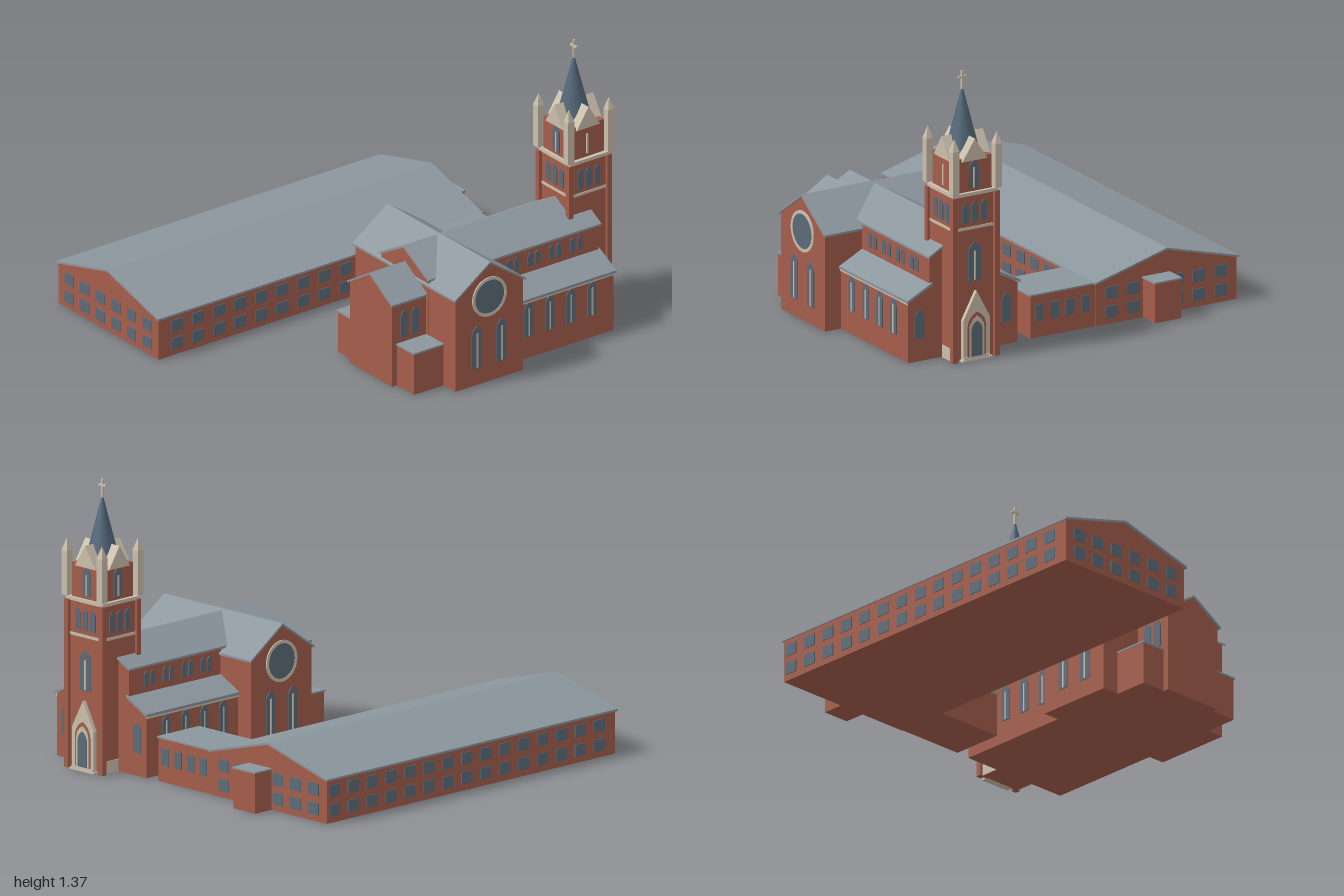
import * as THREE from 'three';

const mat = (name, color) => Object.assign(new THREE.MeshStandardMaterial({ color }), { name });

export function createModel() {
  const brick = mat('brick', 0xa45d4b);
  const slate = mat('slate', 0x8b969d);
  const glass = mat('glass', 0x5b6b79);
  const stone = mat('stone', 0xcbbfac);
  const spireBlue = mat('spire blue', 0x53687a);

  const model = new THREE.Group();
  const hall = new THREE.Group();
  const church = new THREE.Group();
  const tower = new THREE.Group();
  hall.name = 'hall';
  church.name = 'church';
  tower.name = 'tower';
  hall.position.set(-0.56, 0, 0.06);
  church.position.x = 0.54;
  tower.position.z = -0.865;
  church.add(tower);
  model.add(hall, church);

  const add = (parent, name, geo, material, x = 0, y = 0, z = 0, ry = 0) => {
    const m = new THREE.Mesh(geo, material);
    m.name = name;
    m.position.set(x, y, z);
    m.rotation.y = ry;
    parent.add(m);
    return m;
  };
  // box given by its x, y and z ranges
  const box = (parent, name, material, x0, x1, y0, y1, z0, z1) =>
    add(parent, name, new THREE.BoxGeometry(x1 - x0, y1 - y0, z1 - z0), material,
      (x0 + x1) / 2, (y0 + y1) / 2, (z0 + z1) / 2);
  const poly = (pts) => new THREE.Shape(pts.map(([x, y]) => new THREE.Vector2(x, y)));
  const extrude = (shape, depth, curveSegments = 8) =>
    new THREE.ExtrudeGeometry(shape, { depth, bevelEnabled: false, curveSegments });
  // profile in x and y, swept from z0 to z1
  const prism = (parent, name, material, pts, z0, z1) =>
    add(parent, name, extrude(poly(pts), z1 - z0), material, 0, 0, z0);

  // gabled block: walls plus an overhanging roof slab
  const gabled = (parent, name, half, eave, ridge, z0, z1, over = 0.01) => {
    const g = new THREE.Group(), t = 0.01, w = half - over;
    g.name = name;
    const top = ridge - (ridge - eave) * w / half - t;
    prism(g, name + ' walls', brick, [[-w, 0], [w, 0], [w, top], [0, ridge - t], [-w, top]], z0 + over, z1 - over);
    prism(g, name + ' roof', slate,
      [[-half, eave - t], [0, ridge - t], [half, eave - t], [half, eave], [0, ridge], [-half, eave]], z0, z1);
    parent.add(g);
    return g;
  };

  const rect = (w, h) => poly([[-w / 2, 0], [w / 2, 0], [w / 2, h], [-w / 2, h]]);
  const lancet = (w, h) => {
    const s = new THREE.Shape(), r = w / 2, k = h - w * 0.8;
    s.moveTo(-r, 0).lineTo(r, 0).lineTo(r, k);
    s.quadraticCurveTo(r, h - w * 0.25, 0, h).quadraticCurveTo(-r, h - w * 0.25, -r, k);
    return s;
  };
  // thin plate on a wall; ry is the direction the wall faces
  const plate = (parent, name, material, shape, x, y, z, ry, out = 0.004) => {
    const m = add(parent, name, extrude(shape, 0.006, 16), material, x, y, z, ry);
    m.translateZ(out - 0.006);
  };
  const BACK = Math.PI, SIDE = Math.PI / 2;

  // long hall with two rows of windows
  gabled(hall, 'hall', 0.39, 0.213, 0.318, -0.94, 0.94);
  for (const y of [0.03, 0.122]) {
    for (let i = 0; i < 6; i++) {
      const x = -0.295 + i * 0.118;
      plate(hall, 'front window', glass, rect(0.066, 0.058), x, y, 0.93, 0);
      if (i !== 3) plate(hall, 'back window', glass, rect(0.066, 0.058), x, y, -0.93, BACK);
    }
    for (let i = 0; i < 15; i++) {
      const z = 0.825 - i * 0.122;
      plate(hall, 'side window', glass, rect(0.068, 0.058), -0.38, y, z, -SIDE);
      if (z > -0.63) plate(hall, 'side window', glass, rect(0.068, 0.058), 0.38, y, z, SIDE);
    }
  }
  // rear porch and linking wing
  box(model, 'rear porch', brick, -0.575, -0.435, 0, 0.19, -0.975, -0.86);
  box(model, 'rear porch roof', slate, -0.58, -0.43, 0.19, 0.198, -0.98, -0.865);
  box(model, 'link wing', brick, -0.19, 0.17, 0, 0.205, -0.865, -0.605);
  box(model, 'link roof', slate, -0.18, 0.175, 0.205, 0.213, -0.87, -0.6);
  for (let i = 0; i < 4; i++)
    plate(model, 'link window', glass, rect(0.045, 0.08), -0.125 + i * 0.083, 0.08, -0.865, BACK);

  // nave, transept and chancel
  gabled(church, 'nave', 0.19, 0.5, 0.605, -0.88, 0.122);
  const transept = gabled(church, 'transept', 0.205, 0.47, 0.612, -0.39, 0.39);
  transept.rotation.y = SIDE;
  transept.position.z = -0.085;
  gabled(church, 'chancel', 0.17, 0.42, 0.525, 0, 0.318);

  const rose = new THREE.Shape().absarc(0, 0, 0.086, 0, Math.PI * 2);
  const ring = new THREE.Shape().absarc(0, 0, 0.099, 0, Math.PI * 2);
  ring.holes.push(new THREE.Path().absarc(0, 0, 0.084, 0, Math.PI * 2, true));

  for (const s of [-1, 1]) {
    const ry = s * SIDE;
    // chancel side rooms and windows
    const [a, b] = [s * 0.15, s * 0.29].sort((p, q) => p - q);
    box(church, 'side room', brick, a, b, 0, 0.205, 0.1, 0.28);
    box(church, 'side room roof', slate, a - 0.004, b + 0.004, 0.205, 0.213, 0.1, 0.285);
    for (const z of [0.175, 0.24])
      plate(church, 'chancel window', glass, lancet(0.042, 0.135), s * 0.16, 0.237, z, ry);

    // transept rose window and lancets
    plate(church, 'rose window', glass, rose, s * 0.38, 0.432, -0.085, ry);
    plate(church, 'rose surround', stone, ring, s * 0.38, 0.432, -0.085, ry, 0.006);
    for (const z of [-0.013, -0.155]) {
      plate(church, 'transept window', glass, lancet(0.058, 0.215), s * 0.38, 0.085, z, ry);
      plate(church, 'transept mullion', stone, rect(0.01, 0.175), s * 0.38, 0.09, z, ry, 0.006);
    }

    // lean-to aisle
    prism(church, 'aisle', brick,
      [[s * 0.17, 0], [s * 0.295, 0], [s * 0.295, 0.293], [s * 0.17, 0.358]], -0.87, -0.27);
    prism(church, 'aisle roof', slate,
      [[s * 0.17, 0.36], [s * 0.305, 0.292], [s * 0.305, 0.305], [s * 0.17, 0.373]], -0.88, -0.275);
    plate(church, 'aisle cornice', stone, rect(0.59, 0.014), s * 0.295, 0.282, -0.575, ry, 0.005);
    for (let i = 0; i < 4; i++) {
      const z = -0.378 - i * 0.122;
      plate(church, 'aisle window', glass, lancet(0.052, 0.172), s * 0.295, 0.11, z, ry);
      plate(church, 'aisle mullion', stone, rect(0.009, 0.14), s * 0.295, 0.113, z, ry, 0.006);
      for (const d of [-0.021, 0.021])
        plate(church, 'clerestory window', glass, lancet(0.028, 0.072), s * 0.18, 0.397, z + d + 0.004, ry);
    }
    plate(church, 'aisle end window', glass, lancet(0.05, 0.14), s * 0.235, 0.11, -0.87, BACK);
  }

  // tower shaft, belfry and stone bands
  box(tower, 'tower shaft', brick, -0.112, 0.112, 0, 0.8, -0.108, 0.108);
  box(tower, 'belfry', brick, -0.1, 0.1, 0.8, 0.975, -0.1, 0.1);
  box(tower, 'lower band', stone, -0.116, 0.116, 0.632, 0.645, -0.112, 0.112);
  box(tower, 'upper band', stone, -0.12, 0.12, 0.797, 0.813, -0.116, 0.116);
  for (const x of [-1, 1]) {
    plate(tower, 'base plinth', stone, rect(0.085, 0.06), x * 0.112, 0, -0.052, x * SIDE);
    for (const z of [-1, 1]) {
      // corner buttress and pinnacle
      box(tower, 'buttress', brick, x * 0.1135 - 0.0135, x * 0.1135 + 0.0135, 0, 0.8, z * 0.112 - 0.013, z * 0.112 + 0.013);
      add(tower, 'pinnacle', new THREE.BoxGeometry(0.036, 0.21, 0.036), stone, x * 0.115, 0.925, z * 0.116);
      const tip = new THREE.ConeGeometry(0.0255, 0.06, 4).toNonIndexed();
      tip.computeVertexNormals();
      add(tower, 'pinnacle tip', tip, stone, x * 0.115, 1.06, z * 0.116, Math.PI / 4);
    }
  }
  // tower windows on each side
  for (let k = 0; k < 4; k++) {
    const ry = k * SIDE, dx = Math.round(Math.sin(ry)), dz = Math.round(Math.cos(ry));
    const rx = dx ? 0.112 : 0.108;
    for (const o of [-0.05, 0, 0.05])
      plate(tower, 'stage window', glass, lancet(0.033, 0.1), dx * rx + dz * o, 0.665, dz * rx - dx * o, ry);
    if (k !== 1) plate(tower, 'belfry window', glass, lancet(0.052, 0.135), dx * 0.1, 0.828, dz * 0.1, ry);
    plate(tower, 'belfry mullion', stone, rect(0.009, 0.1), dx * 0.1, 0.83, dz * 0.1, ry, 0.006);
    // crowning gable
    const gable = extrude(poly([[-0.068, 0.965], [0.068, 0.965], [0, 1.07]]), 0.112);
    add(tower, 'gable', gable, stone, 0, 0, 0, ry);
  }

  // spire and cross
  add(tower, 'spire', new THREE.ConeGeometry(0.083, 0.325, 24), spireBlue, 0, 1.1375, 0);
  box(tower, 'cross post', stone, -0.005, 0.005, 1.28, 1.37, -0.005, 0.005);
  box(tower, 'cross arm', stone, -0.023, 0.023, 1.334, 1.344, -0.005, 0.005);

  // entrance portal, door and steps
  const portal = poly([[-0.072, 0], [0.072, 0], [0.072, 0.2], [0, 0.335], [-0.072, 0.2]]);
  add(tower, 'portal', extrude(portal, 0.025), stone, 0, 0, -0.102, BACK);
  plate(tower, 'portal infill', brick, lancet(0.1, 0.215), 0, 0.02, -0.127, BACK, 0.002);
  plate(tower, 'portal arch', stone, lancet(0.08, 0.195), 0, 0.02, -0.127, BACK, 0.003);
  plate(tower, 'door', glass, lancet(0.06, 0.17), 0, 0.02, -0.127, BACK, 0.004);
  box(tower, 'lower step', stone, -0.08, 0.08, 0, 0.01, -0.135, -0.1);
  box(tower, 'upper step', stone, -0.07, 0.07, 0.01, 0.02, -0.132, -0.1);
  plate(tower, 'tall window', glass, lancet(0.07, 0.19), 0, 0.38, -0.108, BACK);
  plate(tower, 'tall window mullion', stone, rect(0.01, 0.14), 0, 0.385, -0.108, BACK, 0.006);

  return model;
}
